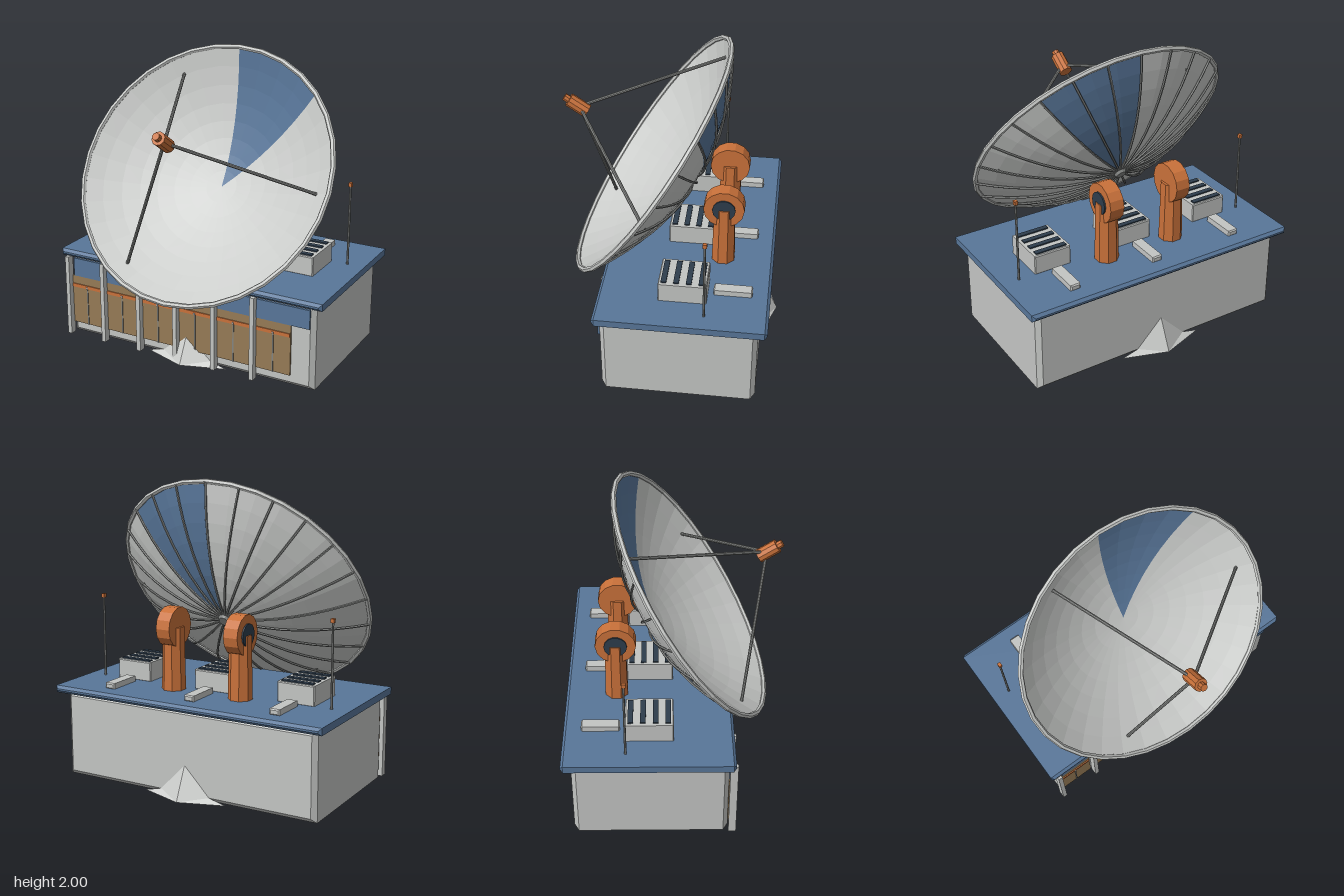
import * as THREE from 'three';

const mat = (name, color, side = THREE.FrontSide) =>
  Object.assign(new THREE.MeshStandardMaterial({ color, flatShading: true, side }), { name });
const wallGrey = mat('wallGrey', 0xc3c5c3);
const dishGrey = mat('dishGrey', 0xcbcdcb, THREE.DoubleSide);
const blue = mat('blue', 0x587699);
const dishBlue = mat('dishBlue', 0x587699, THREE.DoubleSide);
const orange = mat('orange', 0xc9713a);
const tan = mat('tan', 0x967b56);
const steel = mat('steel', 0x838583);
const dark = mat('dark', 0x2e3d4c);

export function createModel() {
  const model = new THREE.Group();
  const add = (name, geo, material, x = 0, y = 0, z = 0, parent = model) => {
    const m = new THREE.Mesh(geo, material);
    m.name = name;
    m.position.set(x, y, z);
    parent.add(m);
    return m;
  };
  const box = (w, h, d) => new THREE.BoxGeometry(w, h, d);

  // Box with every edge chamfered by b
  const bevelBox = (w, h, d, b) => {
    const x = w / 2 - b, y = h / 2 - b;
    const s = new THREE.Shape([[-x, -y], [x, -y], [x, y], [-x, y]].map(p => new THREE.Vector2(...p)));
    return new THREE.ExtrudeGeometry(s, {
      depth: d - 2 * b, bevelEnabled: true, bevelSegments: 1, bevelSize: b, bevelThickness: b,
    }).translate(0, 0, b - d / 2);
  };

  // Rod between two points
  const rod = (name, a, b, r, parent) => {
    const m = add(name, new THREE.CylinderGeometry(r, r, a.distanceTo(b), 8), steel, 0, 0, 0, parent);
    m.position.copy(a).lerp(b, 0.5);
    m.quaternion.setFromUnitVectors(new THREE.Vector3(0, 1, 0), b.clone().sub(a).normalize());
  };

  // Building and roof
  add('walls', bevelBox(1.84, 0.58, 1.0, 0.03), wallGrey, 0, 0.29, -0.115);
  add('roof', bevelBox(1.95, 0.048, 1.1, 0.018), blue, 0, 0.598, -0.125);
  add('fasciaBand', box(1.78, 0.13, 0.016), blue, 0, 0.495, 0.391);

  // Front bays and posts
  for (let i = 0; i < 6; i++) {
    const x = -0.785 + i * 0.285;
    add('bayPanel', box(0.245, 0.35, 0.014), tan, x, 0.255, 0.39);
    add('bayStripe', box(0.235, 0.024, 0.008), orange, x, 0.36, 0.4);
    add('bayMullion', box(0.008, 0.27, 0.006), steel, x, 0.215, 0.399);
    add('bayHandle', box(0.012, 0.012, 0.01), wallGrey, x, 0.355, 0.404);
    add('frontPost', box(0.03, 0.575, 0.05), wallGrey, x - 0.135, 0.2875, 0.413);
  }

  // Earth mounds against the front and back walls
  const mound = (name, peak) => {
    const P = [[0, 0, 0.1], [0.3, 0, 0], [0.18, 0.03, 0], [0, peak, 0], [-0.18, 0.03, 0], [-0.3, 0, 0]];
    const g = new THREE.BufferGeometry();
    const faces = [0, 1, 2, 0, 2, 3, 0, 3, 4, 0, 4, 5, 0, 5, 1];
    g.setAttribute('position', new THREE.Float32BufferAttribute(faces.flatMap(i => P[i]), 3));
    g.computeVertexNormals();
    return add(name, g, dishGrey);
  };
  mound('frontMound', 0.19).position.z = 0.385;
  const back = mound('backMound', 0.215);
  back.position.z = -0.615;
  back.rotation.y = Math.PI;

  // Rooftop ventilation units and ducts
  for (const x of [-0.61, 0, 0.61]) {
    add('ventUnit', bevelBox(0.26, 0.135, 0.31, 0.006), wallGrey, x, 0.685, -0.12);
    for (let i = 0; i < 4; i++)
      add('ventSlat', box(0.22, 0.014, 0.035), dark, x, 0.754, -i * 0.08);
    add('roofDuct', bevelBox(0.07, 0.04, 0.25, 0.008), wallGrey, x, 0.64, -0.435);
  }

  for (const s of [-1, 1]) {
    // Mount pedestals with bearing heads
    add('pedestal', new THREE.CylinderGeometry(0.072, 0.08, 0.42, 8), orange, s * 0.25, 0.83, -0.34)
      .rotation.y = Math.PI / 8;
    add('bearingHead', new THREE.CylinderGeometry(0.133, 0.133, 0.1, 14).rotateZ(Math.PI / 2),
      orange, s * 0.25, 1.04, -0.338);
    add('bearingHub', new THREE.CylinderGeometry(0.075, 0.075, 0.02, 14).rotateZ(Math.PI / 2),
      dark, s * 0.3, 1.04, -0.338);
    // Roof antennas
    add('antenna', new THREE.CylinderGeometry(0.007, 0.008, 0.56, 6), steel, s * 0.855, 0.89, -0.27);
    add('antennaTip', box(0.022, 0.026, 0.026), orange, s * 0.855, 1.178, -0.27);
  }

  // Dish: local +y is its axis, apex at the origin
  const dish = new THREE.Group();
  dish.name = 'dish';
  dish.position.set(0, 1.077, -0.092);
  dish.rotation.x = 0.977;
  model.add(dish);
  const R = 0.888, depth = r => 0.31 * (r / R) ** 2;
  const at = (r, a, off = 0) => new THREE.Vector3(r * Math.cos(a), depth(r) + off, -r * Math.sin(a));
  const profile = [];
  for (let i = 0; i <= 8; i++) profile.push(new THREE.Vector2(R * i / 8, depth(R * i / 8)));
  add('dishShell', new THREE.LatheGeometry(profile, 28, Math.PI, Math.PI * 7 / 4), dishGrey, 0, 0, 0, dish);
  add('dishBlueSector', new THREE.LatheGeometry(profile, 4, Math.PI * 3 / 4, Math.PI / 4),
    dishBlue, 0, 0, 0, dish);
  add('dishRim', new THREE.TorusGeometry(R, 0.018, 6, 32).rotateX(Math.PI / 2), wallGrey, 0, depth(R), 0, dish);
  add('dishHub', new THREE.CylinderGeometry(0.05, 0.035, 0.03, 12), steel, 0, -0.022, 0, dish);

  // Back ribs
  for (let k = 0; k < 24; k++) {
    const pts = [];
    for (let i = 0; i <= 6; i++) pts.push(at(0.03 + (R - 0.03) * i / 6, k * Math.PI / 12, -0.013));
    add('backRib', new THREE.TubeGeometry(new THREE.CatmullRomCurve3(pts), 8, 0.008, 5), steel, 0, 0, 0, dish);
  }

  // Feed horn on three struts
  add('feedHorn', new THREE.CylinderGeometry(0.045, 0.045, 0.14, 10), orange, 0, 0.885, 0, dish);
  add('feedTip', new THREE.CylinderGeometry(0.025, 0.025, 0.04, 8), orange, 0, 0.97, 0, dish);
  for (let k = 0; k < 3; k++) {
    const a = k * Math.PI * 2 / 3;
    rod('feedStrut', at(0.78, a), new THREE.Vector3(0.03 * Math.cos(a), 0.85, -0.03 * Math.sin(a)), 0.011, dish);
  }
  return model;
}
